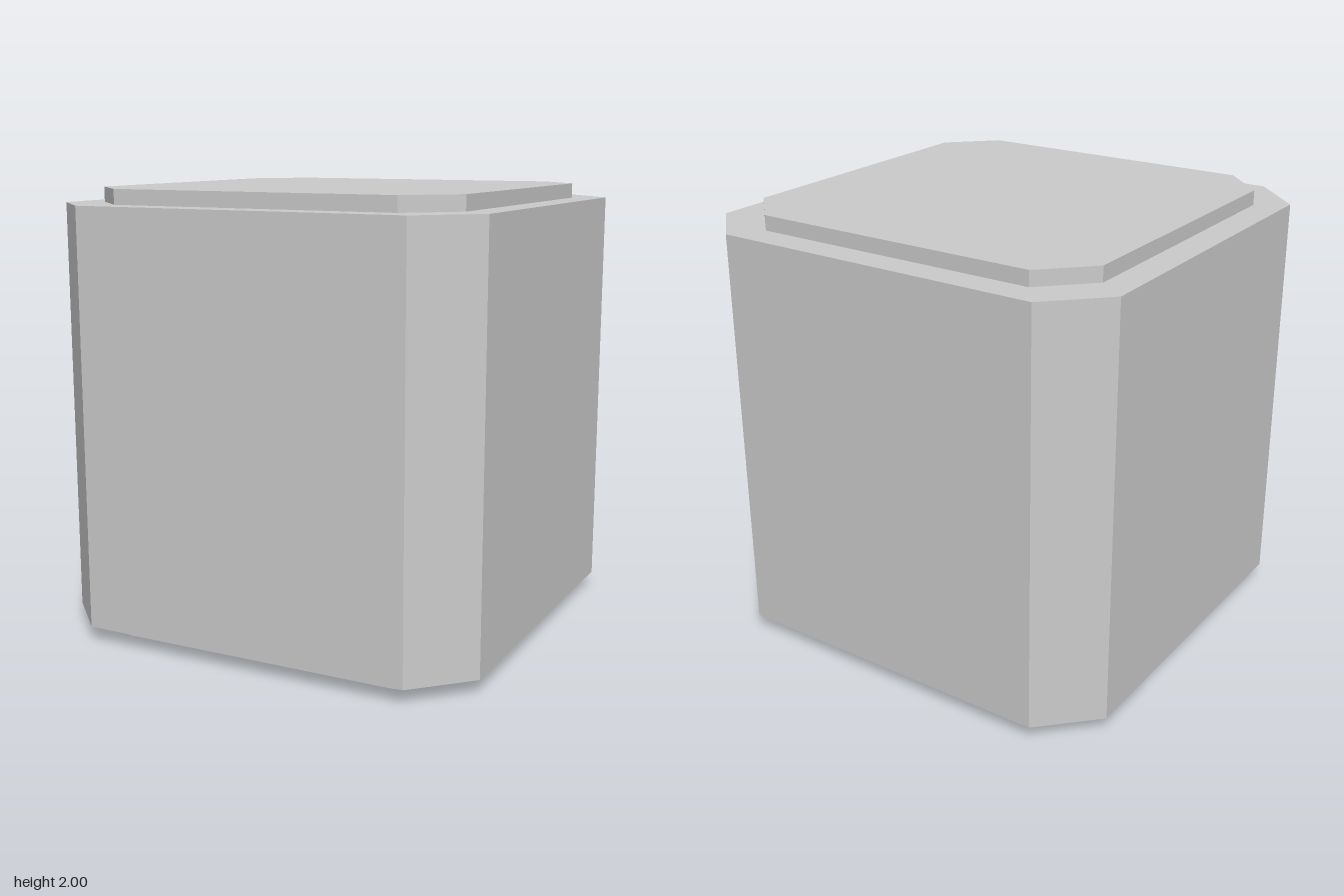
import * as THREE from 'three';

const material = new THREE.MeshStandardMaterial({ color: 0xcccccc, flatShading: true });

// Upright square prism with chamfered corners: r = half width, c = half length of the flat side
function chamferedPrism(name, r, c, y0, y1) {
  const outline = [[r, -c], [r, c], [c, r], [-c, r], [-r, c], [-r, -c], [-c, -r], [c, -r]];
  const shape = new THREE.Shape(outline.map(([x, y]) => new THREE.Vector2(x, y)));
  const geometry = new THREE.ExtrudeGeometry(shape, { depth: y1 - y0, bevelEnabled: false });
  geometry.rotateX(-Math.PI / 2).translate(0, y0, 0);
  const mesh = new THREE.Mesh(geometry, material);
  mesh.name = name;
  return mesh;
}

export function createModel() {
  const model = new THREE.Group();
  model.name = 'chamferedBlock';
  const inset = 0.067; // height of each end plate
  model.add(
    chamferedPrism('bottomPlate', 0.865, 0.665, 0, inset),
    chamferedPrism('body', 1, 0.765, inset, 2 - inset),
    chamferedPrism('topPlate', 0.865, 0.665, 2 - inset, 2),
  );
  return model;
}
